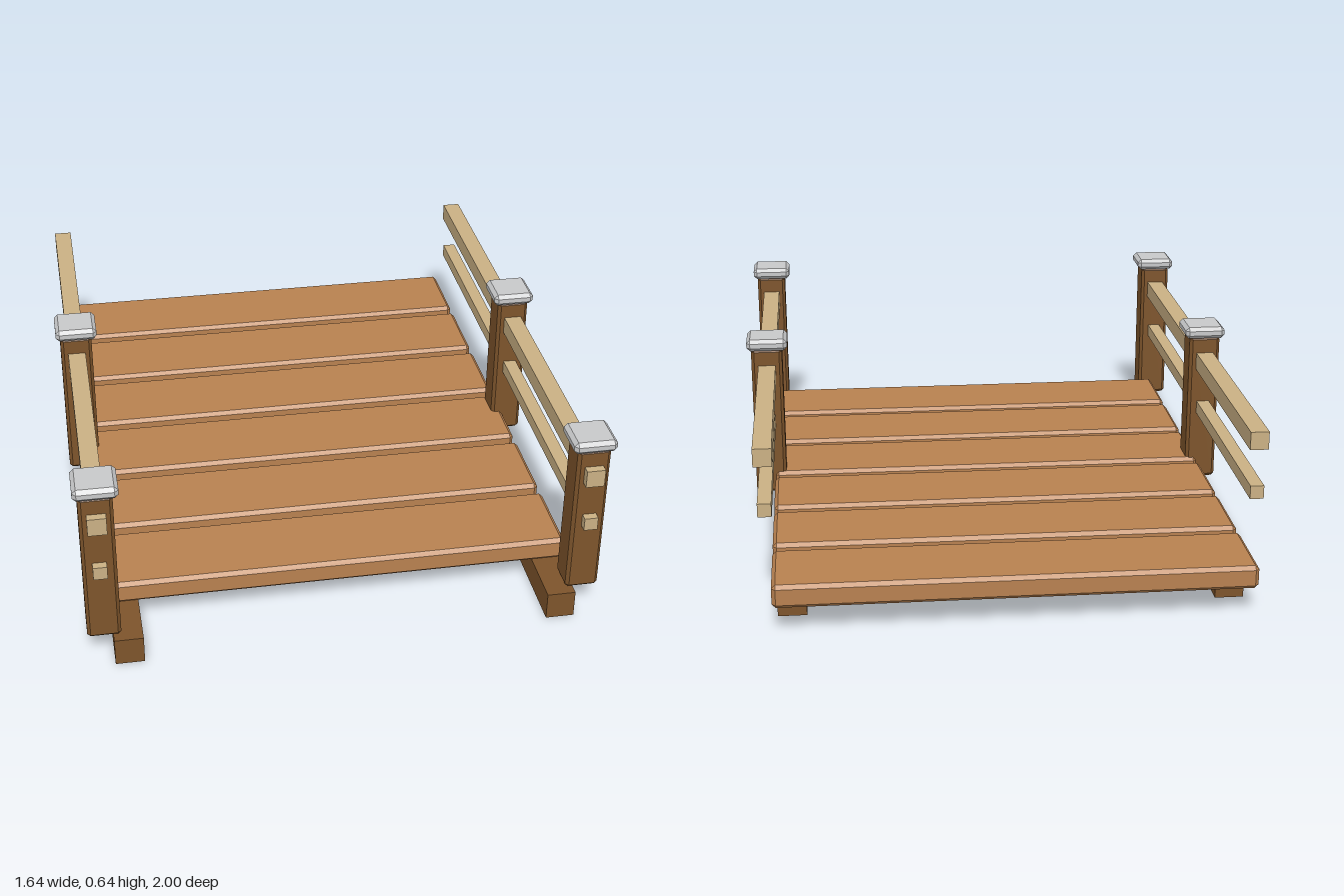
import * as THREE from 'three';
import { ConvexGeometry } from 'three/addons/geometries/ConvexGeometry.js';

const material = (name, color) => new THREE.MeshStandardMaterial({ name, color });

// Box with every edge chamfered by b
function chamferBox(w, h, d, b) {
  const points = [];
  for (const x of [-1, 1]) for (const y of [-1, 1]) for (const z of [-1, 1]) {
    points.push(new THREE.Vector3(x * w / 2, y * (h / 2 - b), z * (d / 2 - b)));
    points.push(new THREE.Vector3(x * (w / 2 - b), y * h / 2, z * (d / 2 - b)));
    points.push(new THREE.Vector3(x * (w / 2 - b), y * (h / 2 - b), z * d / 2));
  }
  return new ConvexGeometry(points);
}

export function createModel() {
  const model = new THREE.Group();
  model.name = 'footbridge';
  const plankWood = material('plank wood', 0xb88150);
  const darkWood = material('dark wood', 0x7d542b);
  const paleWood = material('pale wood', 0xcab084);
  const capGrey = material('cap grey', 0xc8c9ca);

  const add = (name, geometry, mat, x, y, z) => {
    const mesh = new THREE.Mesh(geometry, mat);
    mesh.name = name;
    mesh.position.set(x, y, z);
    model.add(mesh);
  };

  // Deck planks
  const plank = chamferBox(1.48, 0.075, 0.272, 0.012);
  for (let i = 0; i < 6; i++) add('plank', plank, plankWood, 0, 0.1275, -0.864 + i * 0.31);

  // Beams, rails and capped posts, mirrored on both sides
  const beam = new THREE.BoxGeometry(0.09, 0.09, 1.86);
  const upperRail = new THREE.BoxGeometry(0.058, 0.058, 1.86);
  const lowerRail = new THREE.BoxGeometry(0.043, 0.043, 1.86);
  const post = chamferBox(0.104, 0.517, 0.104, 0.01);
  const cap = chamferBox(0.136, 0.04, 0.136, 0.012);
  for (const side of [-1, 1]) {
    const label = side > 0 ? 'left' : 'right';
    add(label + 'Beam', beam, darkWood, side * 0.682, 0.045, 0.07);
    add(label + 'UpperRail', upperRail, paleWood, side * 0.754, 0.521, 0.07);
    add(label + 'LowerRail', lowerRail, paleWood, side * 0.754, 0.352, 0.07);
    for (const z of [0.922, -0.008]) {
      add(label + 'Post', post, darkWood, side * 0.754, 0.3485, z);
      add(label + 'PostCap', cap, capGrey, side * 0.752, 0.624, z);
    }
  }
  return model;
}
